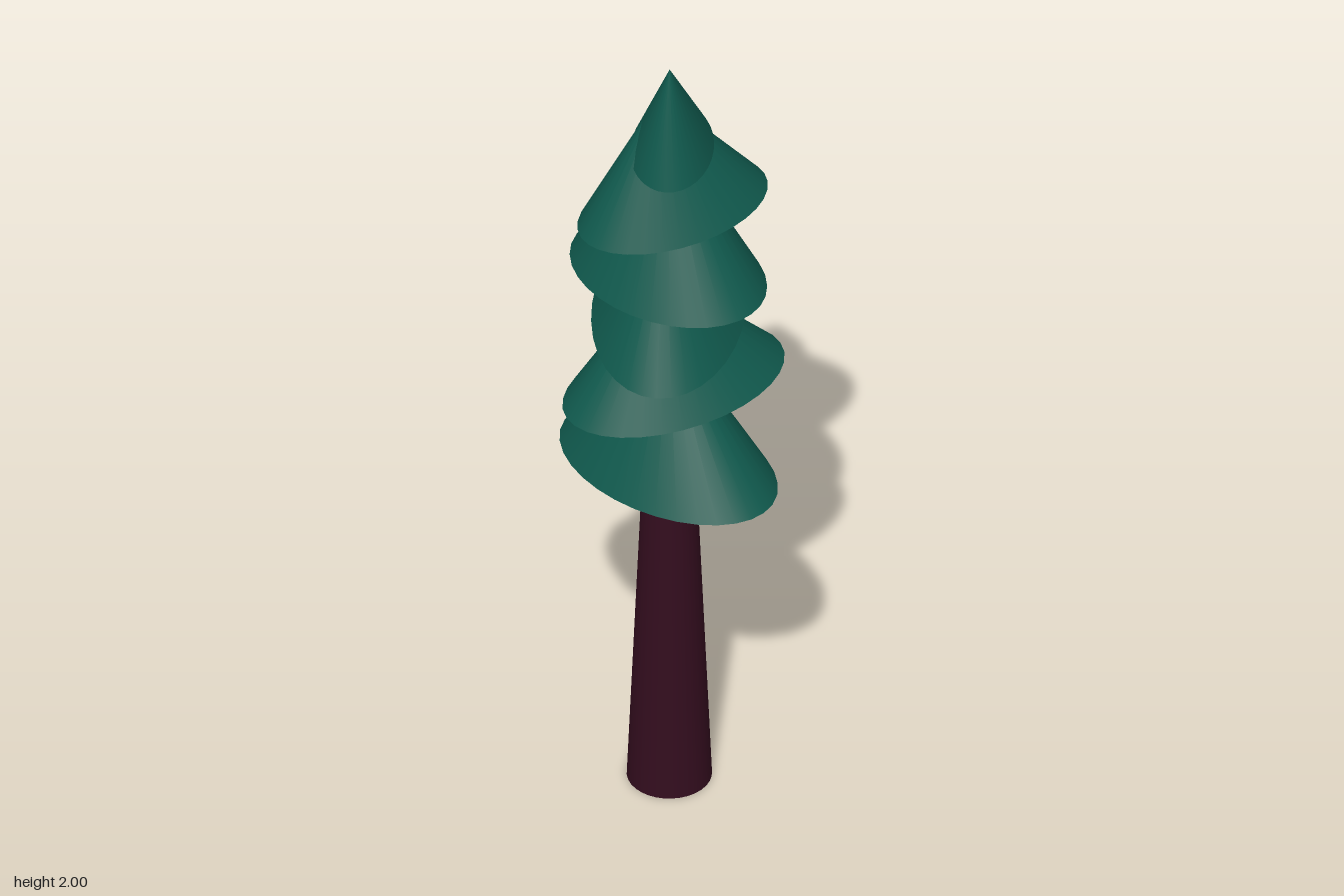
import * as THREE from 'three';

const deg = THREE.MathUtils.degToRad;

export function createModel() {
  const tree = new THREE.Group();
  tree.name = 'pineTree';
  const bark = new THREE.MeshStandardMaterial({ color: 0x330d1e });
  const needles = new THREE.MeshStandardMaterial({ color: 0x10594d });

  // Tapered trunk reaching just into the lowest tier
  const trunkHeight = 0.9;
  const trunk = new THREE.Mesh(new THREE.CylinderGeometry(0.057, 0.094, trunkHeight, 32), bark);
  trunk.name = 'trunk';
  trunk.position.set(0, trunkHeight / 2, 0.014);
  tree.add(trunk);

  // Foliage tiers: oval cones, each leaning along its long axis
  const tiers = [
    { at: [0, 0.865, 0.016], long: 0.278, short: 0.18, height: 0.37, heading: 0, lean: 0 },
    { at: [0, 1.083, 0], long: 0.258, short: 0.17, height: 0.31, heading: 115, lean: 5.6 },
    { at: [-0.022, 1.267, -0.01], long: 0.266, short: 0.17, height: 0.32, heading: 55, lean: 11 },
    { at: [0, 1.4, 0.017], long: 0.242, short: 0.18, height: 0.38, heading: 0, lean: 0 },
    { at: [0, 1.572, 0.003], long: 0.221, short: 0.147, height: 0.32, heading: 115, lean: 5.6 },
    { at: [0.009, 1.743, 0.015], long: 0.131, short: 0.092, height: 0.262, heading: 55, lean: 11 },
  ];
  tiers.forEach(({ at, long, short, height, heading, lean }, i) => {
    const cone = new THREE.ConeGeometry(1, height, 32);
    cone.translate(0, height / 2, 0);
    cone.scale(long, 1, short);
    const tier = new THREE.Mesh(cone, needles);
    tier.name = `foliageTier${i + 1}`;
    tier.position.set(...at);
    tier.rotation.set(0, -deg(heading), -deg(lean));
    tree.add(tier);
  });

  return tree;
}
